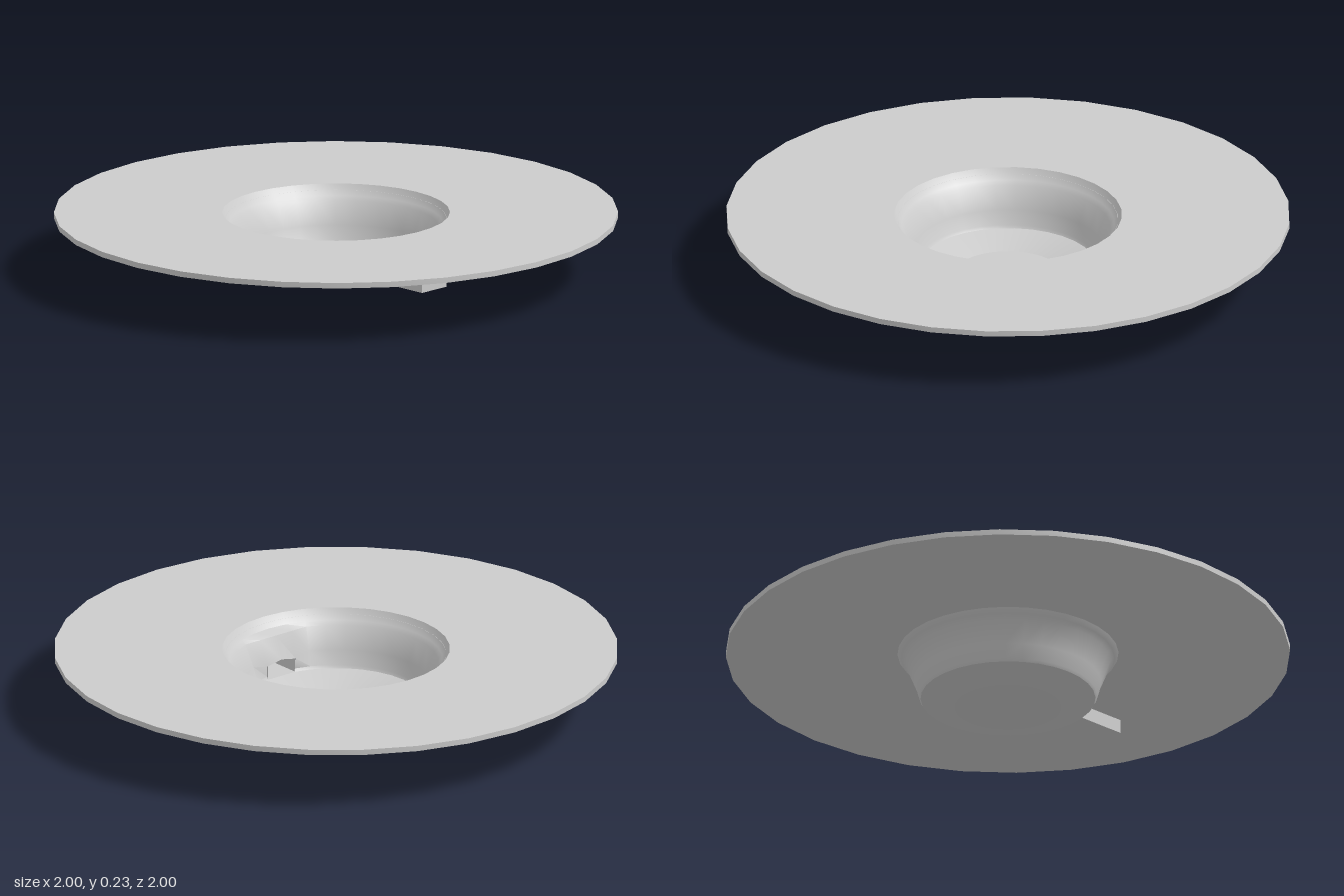
import * as THREE from 'three';
import { toCreasedNormals } from 'three/addons/utils/BufferGeometryUtils.js';

const SIDES = 32;
const material = new THREE.MeshStandardMaterial({ color: 0xcccccc, side: THREE.DoubleSide });

function addMesh(group, name, geometry, crease = 0.5) {
  const mesh = new THREE.Mesh(toCreasedNormals(geometry, crease), material);
  mesh.name = name;
  group.add(mesh);
}

function lathe(points) {
  return new THREE.LatheGeometry(points.map(([r, y]) => new THREE.Vector2(r, y)), SIDES);
}

function indexed(positions, index) {
  const g = new THREE.BufferGeometry();
  g.setAttribute('position', new THREE.Float32BufferAttribute(positions, 3));
  g.setIndex(index);
  return g;
}

// Bowl wall: stacked rings, flattened above the drain and left open where the drain joins
function wallGeometry() {
  const rings = [[0.31, 0.035], [0.316, 0.045], [0.331, 0.097], [0.364, 0.178], [0.378, 0.192], [0.39, 0.207], [0.404, 0.23]];
  const positions = [], index = [];
  rings.forEach(([r, y], row) => {
    for (let i = 0; i < SIDES; i++) {
      const a = (i / SIDES) * Math.PI * 2;
      const step = Math.min(i, SIDES - i);
      const flat = (row === 2 || row === 3) && step < 2;
      const x = flat ? r * Math.cos(Math.PI / 8) : r * Math.cos(a);
      const drop = row === 2 && step === 1 ? 0.012 : 0;
      positions.push(x, y - drop, -r * Math.sin(a));
    }
  });
  for (let row = 0; row < rings.length - 1; row++) {
    for (let i = 0; i < SIDES; i++) {
      if (row < 2 && (i === 0 || i === SIDES - 1)) continue;
      const j = (i + 1) % SIDES;
      const a = row * SIDES + i, b = row * SIDES + j;
      index.push(a, b, b + SIDES, a, b + SIDES, a + SIDES);
    }
  }
  return indexed(positions, index);
}

// Drain: five-sided duct with a peaked top, open into the bowl and closed at its far end
function drainGeometry() {
  const section = [[-0.062, 0.035], [-0.062, 0.085], [0, 0.097], [0.062, 0.085], [0.062, 0.035]];
  const n = section.length, positions = [], index = [];
  for (const x of [0.304, 0.49]) section.forEach(([z, y]) => positions.push(x, y, z));
  for (let i = 0; i < n; i++) {
    const j = (i + 1) % n;
    index.push(i, j, j + n, i, j + n, i + n);
  }
  for (let i = 1; i < n - 1; i++) index.push(n, n + i, n + i + 1);
  return indexed(positions, index);
}

export function createModel() {
  const model = new THREE.Group();
  model.name = 'recessedBasin';

  // Broad thin disc around the bowl
  addMesh(model, 'flange', lathe([[0.391, 0.21], [1, 0.21], [1, 0.23], [0.404, 0.23]]));
  addMesh(model, 'bowlWall', wallGeometry());
  // Shallow conical floor with a flat centre
  addMesh(model, 'bowlFloor', lathe([[0, 0], [0.19, 0], [0.31, 0.035]]), 0.2);
  addMesh(model, 'drainSpout', drainGeometry(), 0.1);

  return model;
}
